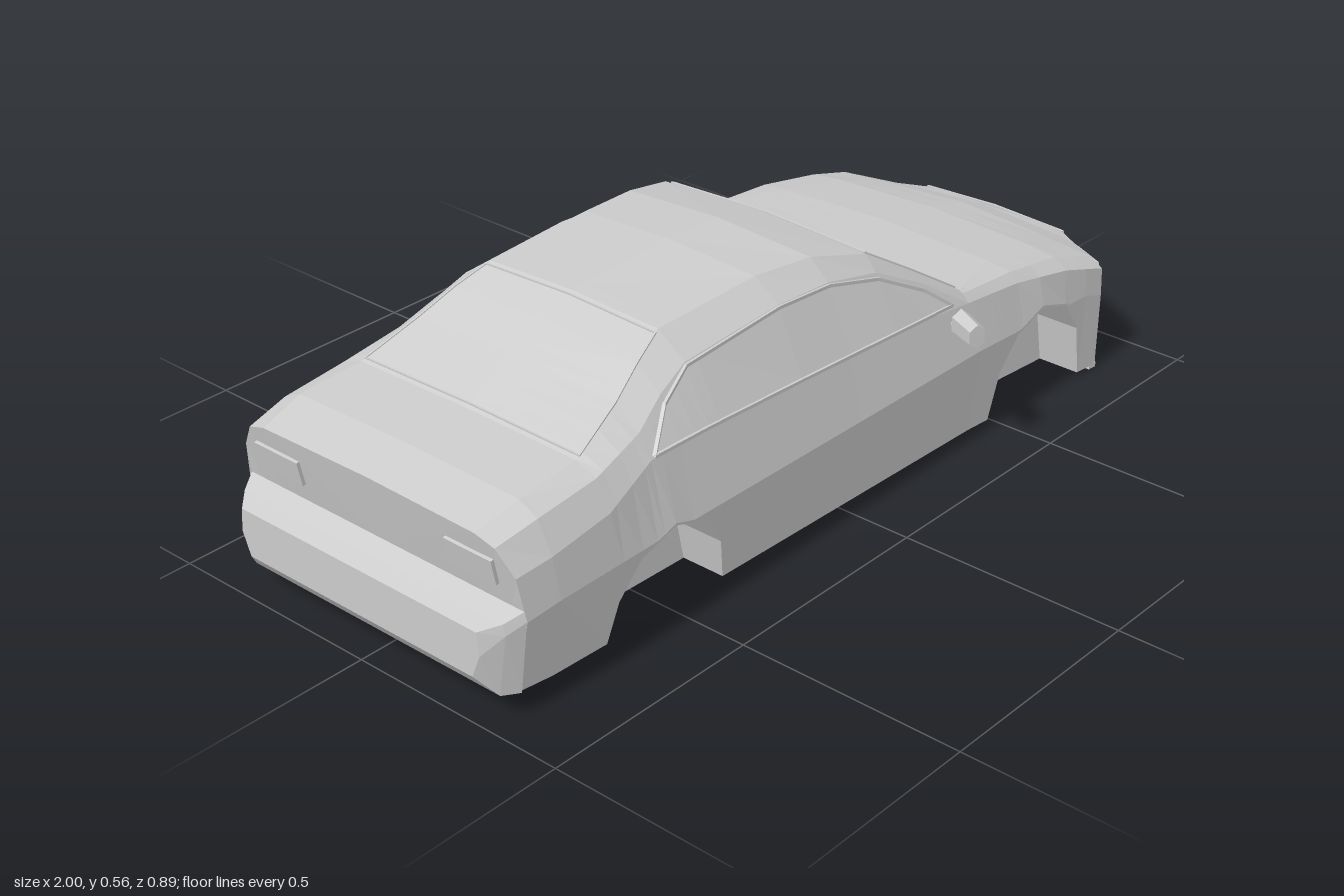
import * as THREE from 'three';
import { mergeGeometries } from 'three/addons/utils/BufferGeometryUtils.js';

const mat = new THREE.MeshStandardMaterial({ color: 0xcccccc, flatShading: true, side: THREE.DoubleSide });

// lower body: x, floor y, sill half width, crease y, crease half width
const LOWER = [
  [-0.93, 0.052, 0.345, 0.21, 0.372], [-0.85, 0.047, 0.35, 0.22, 0.378],
  [-0.6, 0.04, 0.352, 0.225, 0.38], [0.4, 0.022, 0.357, 0.22, 0.38],
  [0.79, 0.01, 0.374, 0.2, 0.38], [0.85, 0.007, 0.377, 0.18, 0.38],
  [0.851, 0.072, 0.377, 0.18, 0.379], [0.93, 0.072, 0.262, 0.17, 0.266],
  [0.972, 0.072, 0.2, 0.17, 0.205], [1, 0.072, 0.12, 0.13, 0.122],
];
// upper body: x, then y and half width of belt, rail and roof edge, then centre y
const UPPER = [
  [-0.93, 0.3, 0.36, 0.355, 0.325, 0.37, 0.28, 0.375],
  [-0.86, 0.31, 0.368, 0.375, 0.335, 0.397, 0.29, 0.402],
  [-0.71, 0.33, 0.367, 0.39, 0.335, 0.408, 0.285, 0.412],
  [-0.58, 0.375, 0.348, 0.42, 0.318, 0.462, 0.26, 0.472],
  [-0.5, 0.375, 0.346, 0.46, 0.298, 0.504, 0.24, 0.512],
  [-0.42, 0.375, 0.346, 0.49, 0.286, 0.537, 0.22, 0.545],
  [-0.15, 0.365, 0.348, 0.505, 0.285, 0.547, 0.225, 0.557],
  [0, 0.36, 0.348, 0.497, 0.286, 0.538, 0.24, 0.55],
  [0.14, 0.352, 0.35, 0.47, 0.296, 0.503, 0.268, 0.515],
  [0.26, 0.342, 0.352, 0.41, 0.32, 0.43, 0.3, 0.44],
  [0.38, 0.33, 0.355, 0.348, 0.34, 0.353, 0.33, 0.363],
  [0.55, 0.315, 0.36, 0.335, 0.34, 0.342, 0.28, 0.352],
  [0.72, 0.285, 0.37, 0.305, 0.335, 0.315, 0.26, 0.325],
  [0.85, 0.245, 0.378, 0.265, 0.345, 0.275, 0.22, 0.29],
  [0.93, 0.225, 0.262, 0.238, 0.25, 0.245, 0.19, 0.258],
  [0.972, 0.2, 0.2, 0.232, 0.19, 0.237, 0.15, 0.24],
  [1, 0.16, 0.12, 0.162, 0.11, 0.164, 0.08, 0.165],
];
// wheel arch outline as offset from its centre and height
const ARCH = [[-0.16, 0], [-0.14, 0.13], [-0.09, 0.205], [0, 0.235], [0.09, 0.205], [0.14, 0.13], [0.16, 0]];
const ARCH_X = [-0.55, 0.625];
const POCKET = 0.1;

function sample(table, x) {
  let i = 0;
  while (i < table.length - 2 && x > table[i + 1][0]) i++;
  const a = table[i], b = table[i + 1];
  const t = THREE.MathUtils.clamp((x - a[0]) / (b[0] - a[0]), 0, 1);
  return a.map((v, k) => v + (b[k] - v) * t);
}

function archHeight(x) {
  const c = ARCH_X.find((cx) => Math.abs(x - cx) < 0.16);
  return c === undefined ? 0 : sample(ARCH, x - c)[1];
}

// half cross-section from floor centre, around the +z side, to top centre
function section(x) {
  const [, yf, zl, yc, zc] = sample(LOWER, x);
  const [, y5, z5, y6, z6, y7, z7, y8] = sample(UPPER, x);
  const ya = Math.max(yf, archHeight(x));
  const crease = Math.max(yc, ya + 0.005);
  const zin = Math.max(zl - POCKET, 0.02);
  const zo = zl + (zc - zl) * (ya - yf) / (crease - yf);
  return [[0, yf], [zin, yf], [zin, ya], [zo, ya], [zc, crease], [z5, y5], [z6, y6], [z7, y7], [0, y8]]
    .map(([z, y]) => new THREE.Vector3(x, y, z));
}

// point on the body surface at x, with a fractional row of the cross-section
function at(x, row) {
  const s = section(x), i = Math.min(Math.floor(row), 7);
  return s[i].clone().lerp(s[i + 1], row - i);
}

const flip = (p) => new THREE.Vector3(p.x, p.y, -p.z);

function bodyGeometry() {
  const xs = [...LOWER, ...UPPER].map((r) => r[0]);
  ARCH_X.forEach((c) => ARCH.forEach(([d]) => xs.push(c + d)));
  const halves = [...new Set(xs.map((x) => +x.toFixed(4)))].sort((a, b) => a - b).map(section);
  // boot face leans back over the bumper
  [0.012, 0.026, 0.03, 0.03].forEach((d, k) => { halves[0][5 + k].x -= d; });
  // rear bumper: x, floor y, crease y, top y, half width
  const bumper = [[-1, 0.1, 0.15, 0.2, 0.32], [-0.965, 0.055, 0.19, 0.213, 0.352], [-0.93, 0.052, 0.21, 0.23, 0.371]]
    .map(([x, yf, yc, yt, w]) => [[0, yf], [w - 0.12, yf], [w - 0.12, yf], [w - 0.02, yf], [w, yc],
      [w - 0.005, yt], [w * 0.9, yt], [w * 0.75, yt], [0, yt]].map(([z, y]) => new THREE.Vector3(x, y, z)));
  const rings = [...bumper, ...halves].map((h) => [...h, ...h.slice(1, 8).reverse().map(flip)]);
  const n = rings[0].length, tris = [];
  for (let i = 0; i < rings.length - 1; i++) {
    for (let j = 0; j < n; j++) {
      const k = (j + 1) % n;
      const a = rings[i][j], b = rings[i][k], c = rings[i + 1][k], d = rings[i + 1][j];
      // mirror the diagonals so both sides match
      if (j < n / 2) tris.push(a, d, b, b, d, c);
      else tris.push(a, d, c, a, c, b);
    }
  }
  // end caps
  const cap = (ring, front) => {
    const mid = ring.reduce((s, p) => s.add(p), new THREE.Vector3()).divideScalar(n);
    ring.forEach((p, j) => {
      const q = ring[(j + 1) % n];
      tris.push(mid, front ? q : p, front ? p : q);
    });
  };
  cap(rings[0], false);
  cap(rings[rings.length - 1], true);
  const g = new THREE.BufferGeometry().setFromPoints(tris);
  g.computeVertexNormals();
  return g;
}

// thin square moulding along a line of points
function moulding(points, closed = true, r = 0.007) {
  const bars = [];
  for (let i = 0; i < points.length - (closed ? 0 : 1); i++) {
    const a = points[i], b = points[(i + 1) % points.length];
    const o = new THREE.Object3D();
    o.position.copy(a).lerp(b, 0.5);
    o.lookAt(b);
    o.updateMatrix();
    bars.push(new THREE.BoxGeometry(r, r, a.distanceTo(b) + r * 0.5).applyMatrix4(o.matrix));
  }
  return mergeGeometries(bars);
}

// flat plate following the nose, from half of its plan outline
function nosePlate(half, y, height) {
  const pts = [...half, ...half.map(([x, z]) => [x, -z]).reverse()].map(([x, z]) => new THREE.Vector2(x, z));
  const g = new THREE.ExtrudeGeometry(new THREE.Shape(pts), { depth: height, bevelEnabled: false });
  return g.rotateX(-Math.PI / 2).translate(0, y, 0);
}

export function createModel() {
  const car = new THREE.Group();
  car.name = 'car';
  const add = (name, geometry, parent = car) => {
    const m = new THREE.Mesh(geometry, mat);
    m.name = name;
    parent.add(m);
    return m;
  };
  const symmetric = (half) => [...half, ...half.map(flip).reverse()];

  add('body', bodyGeometry());

  // front bumper: splitter lip below a recessed intake
  add('frontLip', nosePlate([[0.83, 0.376], [0.852, 0.378], [0.972, 0.2], [1, 0.12]], 0, 0.012));
  add('lowerIntake', nosePlate([[0.83, 0.35], [0.85, 0.345], [0.945, 0.19], [0.972, 0.11]], 0.005, 0.075));

  // glass surrounds
  add('windscreenFrame', moulding(symmetric(
    [at(0.15, 8), at(0.15, 7.05), at(0.26, 7.03), at(0.375, 7.03), at(0.375, 8)])));
  add('rearWindowFrame', moulding(symmetric(
    [at(-0.43, 8), at(-0.43, 7), at(-0.5, 7), at(-0.58, 7), at(-0.7, 7), at(-0.7, 8)]), true, 0.004));

  // grille outline
  add('grilleFrame', moulding(symmetric([at(0.972, 8), at(0.972, 6), at(0.998, 5)]), true, 0.006));

  // parts on both sides
  for (const side of [1, -1]) {
    const group = new THREE.Group();
    group.name = side > 0 ? 'leftSide' : 'rightSide';
    car.add(group);
    const set = (pts) => (side > 0 ? pts : pts.map(flip));

    add('sideWindowFrame', moulding(set([at(-0.57, 5.05), at(-0.5, 5.8), at(-0.42, 5.95), at(-0.15, 5.97),
      at(0, 5.96), at(0.14, 5.9), at(0.26, 5.8), at(0.33, 5.2), at(0.14, 5), at(-0.15, 5), at(-0.42, 5)])), group);
    add('headlight', moulding(set([at(0.965, 5.3), at(0.93, 5.2), at(0.865, 5.1),
      at(0.86, 4.35), at(0.93, 4.5), at(0.965, 4.8)]), true, 0.008), group);

    const lamp = add('tailLight', new THREE.BoxGeometry(0.02, 0.055, 0.12), group);
    lamp.position.set(-0.942, 0.3, side * 0.255);
    lamp.rotation.z = 0.2;

    // door mirror and its stalk
    const shell = new THREE.CylinderGeometry(0.027, 0.031, 0.072, 6).rotateX(Math.PI / 2).scale(0.75, 1, 1);
    const mirror = add('doorMirror', shell, group);
    mirror.position.set(0.312, 0.313, side * 0.407);
    mirror.rotation.y = side > 0 ? -0.45 : Math.PI + 0.45;
    add('mirrorStalk', new THREE.BoxGeometry(0.03, 0.02, 0.05), group).position.set(0.33, 0.302, side * 0.365);
  }
  return car;
}
